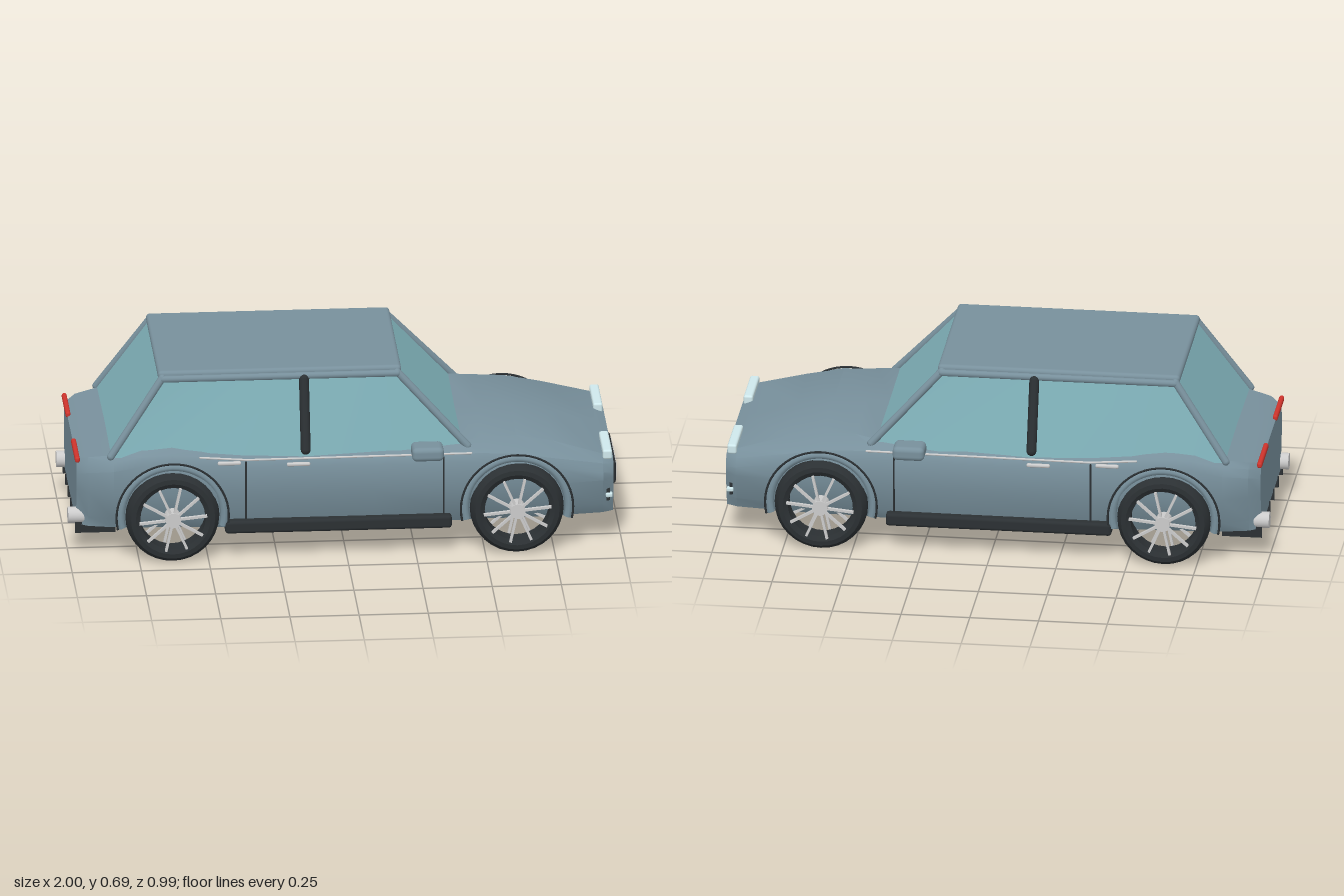
import * as THREE from 'three';
import { toCreasedNormals } from 'three/addons/utils/BufferGeometryUtils.js';
import { RoundedBoxGeometry } from 'three/addons/geometries/RoundedBoxGeometry.js';

const mat = (color, side = THREE.FrontSide) => new THREE.MeshStandardMaterial({ color, side });
const paint = mat(0x78909c), glass = mat(0x7fb0b8), dark = mat(0x2b3033);
const chrome = mat(0xcccccc), lamp = mat(0xcfe8ec), red = mat(0xd0342c);
const V = (x, y, z) => new THREE.Vector3(x, y, z);

function add(parent, name, geometry, material, x = 0, y = 0, z = 0) {
  const mesh = new THREE.Mesh(geometry, material);
  mesh.name = name;
  mesh.position.set(x, y, z);
  parent.add(mesh);
  return mesh;
}

// Closed loft through rings of equal length, with fan caps at both ends
function loft(rings, crease) {
  const n = rings[0].length, pos = [], idx = [];
  rings.forEach(r => r.forEach(p => pos.push(p.x, p.y, p.z)));
  for (let i = 0; i < rings.length - 1; i++) {
    for (let j = 0; j < n; j++) {
      const a = i * n + j, b = i * n + (j + 1) % n;
      idx.push(a, a + n, b, a + n, b + n, b);
    }
  }
  const last = (rings.length - 1) * n;
  [0, last].forEach(base => {
    const c = V(0, 0, 0);
    rings[base / n].forEach(p => c.addScaledVector(p, 1 / n));
    const k = pos.length / 3;
    pos.push(c.x, c.y, c.z);
    for (let j = 0; j < n; j++) {
      const a = base + j, b = base + (j + 1) % n;
      if (base) idx.push(k, b, a); else idx.push(k, a, b);
    }
  });
  const g = new THREE.BufferGeometry();
  g.setAttribute('position', new THREE.Float32BufferAttribute(pos, 3));
  g.setIndex(idx);
  return toCreasedNormals(g, crease);
}

// Round bar between two points
function bar(parent, name, a, b, r, material) {
  const d = b.clone().sub(a);
  const m = add(parent, name, new THREE.CapsuleGeometry(r, d.length(), 4, 10), material);
  m.position.copy(a).add(b).multiplyScalar(0.5);
  m.quaternion.setFromUnitVectors(V(0, 1, 0), d.normalize());
  return m;
}

// Lower body: each station is [x, half width, top y, shoulder drop, crown inset, bottom half width]
function makeBody() {
  const stations = [
    [-0.97, 0.31, 0.36, 0.02, 0.03, 0.29], [-0.93, 0.35, 0.375, 0.02, 0.03, 0.32],
    [-0.84, 0.385, 0.39, 0.02, 0.04, 0.34], [-0.74, 0.4, 0.418, 0.025, 0.05, 0.35],
    [-0.63, 0.405, 0.43, 0.03, 0.05, 0.35], [-0.52, 0.408, 0.418, 0.025, 0.04, 0.36],
    [-0.38, 0.41, 0.4, 0.015, 0.03, 0.37], [0.1, 0.41, 0.395, 0.015, 0.03, 0.37],
    [0.4, 0.408, 0.405, 0.025, 0.06, 0.36], [0.5, 0.405, 0.412, 0.035, 0.09, 0.35],
    [0.62, 0.402, 0.41, 0.04, 0.1, 0.35], [0.75, 0.39, 0.385, 0.04, 0.09, 0.34],
    [0.93, 0.365, 0.335, 0.025, 0.05, 0.32], [0.97, 0.335, 0.318, 0.02, 0.035, 0.3],
  ];
  return loft(stations.map(([x, w, top, drop, inset, bottom]) => {
    const half = [[bottom, 0.11], [w - 0.025, 0.15], [w, 0.25], [w, top - drop - 0.03],
      [w - 0.015, top - drop], [w - inset, top]];
    return [V(x, 0.11, 0), ...half.map(([z, y]) => V(x, y, z)), V(x, top + 0.002, 0),
      ...half.reverse().map(([z, y]) => V(x, y, -z))];
  }), 0.5);
}

// Glasshouse: base and top outlines of one side, front to back
const baseLine = [[0.44, 0.355], [0.2, 0.382], [-0.15, 0.393], [-0.5, 0.388], [-0.85, 0.36]];
const topLine = [[0.19, 0.295], [0.08, 0.3], [-0.15, 0.302], [-0.4, 0.3], [-0.66, 0.297]];
function makeCabin() {
  const ring = (line, y) => [...line.map(([x, z]) => V(x, y, z)),
    ...line.slice().reverse().map(([x, z]) => V(x, y, -z))];
  return loft([ring(baseLine, 0.385), ring(topLine, 0.67)], 0.3);
}

function makeWheel() {
  const wheel = new THREE.Group();
  const profile = [[0.118, -0.03], [0.135, -0.04], [0.152, -0.038], [0.166, -0.022], [0.17, 0],
    [0.166, 0.022], [0.152, 0.038], [0.135, 0.04], [0.118, 0.03], [0.118, -0.03]];
  const tyre = add(wheel, 'tyre', toCreasedNormals(new THREE.LatheGeometry(
    profile.map(([r, y]) => new THREE.Vector2(r, y)), 32), 0.6), dark);
  tyre.rotation.x = Math.PI / 2;
  add(wheel, 'hub', new THREE.CylinderGeometry(0.028, 0.028, 0.11, 20), chrome).rotation.x = Math.PI / 2;
  for (const z of [-0.044, 0.044]) {
    for (let i = 0; i < 10; i++) {
      const a = i / 10 * Math.PI * 2 + 0.1;
      const spoke = add(wheel, 'spoke', new THREE.BoxGeometry(0.11, 0.009, 0.012), chrome,
        Math.cos(a) * 0.068, Math.sin(a) * 0.068, z);
      spoke.rotation.z = a;
    }
  }
  return wheel;
}

export function createModel() {
  const car = new THREE.Group();
  car.name = 'car';
  add(car, 'body', makeBody(), paint);
  add(car, 'cabinGlass', makeCabin(), glass);
  add(car, 'roof', new RoundedBoxGeometry(0.88, 0.032, 0.6, 3, 0.014), paint, -0.235, 0.673, 0);

  // Frame rails across the front and rear screens
  bar(car, 'frontHeader', V(0.19, 0.668, -0.29), V(0.19, 0.668, 0.29), 0.014, paint);
  bar(car, 'rearHeader', V(-0.66, 0.668, -0.29), V(-0.66, 0.668, 0.29), 0.014, paint);

  for (const s of [1, -1]) {
    // Pillars and roof rails
    bar(car, 'frontPillar', V(0.44, 0.395, 0.355 * s), V(0.19, 0.665, 0.297 * s), 0.014, paint);
    bar(car, 'rearPillar', V(-0.85, 0.39, 0.358 * s), V(-0.66, 0.665, 0.299 * s), 0.014, paint);
    bar(car, 'roofRail', V(0.19, 0.662, 0.302 * s), V(-0.66, 0.662, 0.302 * s), 0.013, paint);
    bar(car, 'centrePillar', V(-0.148, 0.41, 0.393 * s), V(-0.148, 0.652, 0.31 * s), 0.018, dark);

    // Wheels and arches
    for (const x of [-0.63, 0.615]) {
      const wheel = makeWheel();
      wheel.name = x > 0 ? 'frontWheel' : 'rearWheel';
      wheel.position.set(x, 0.17, 0.395 * s);
      car.add(wheel);
      const arc = Math.PI * 1.14, start = -Math.PI * 0.07;
      add(car, 'wheelArch', new THREE.TorusGeometry(0.188, 0.015, 8, 32, arc), paint,
        x, 0.17, 0.397 * s).rotation.z = start;
      add(car, 'archTrim', new THREE.TorusGeometry(0.203, 0.004, 6, 32, arc), dark,
        x, 0.17, 0.409 * s).rotation.z = start;
    }

    // Side trim
    add(car, 'sill', new RoundedBoxGeometry(0.82, 0.048, 0.05, 2, 0.012), dark, -0.03, 0.123, 0.39 * s);
    bar(car, 'beltTrim', V(-0.53, 0.395, 0.408 * s), V(-0.36, 0.383, 0.411 * s), 0.004, chrome);
    bar(car, 'beltTrim', V(-0.36, 0.383, 0.411 * s), V(0.45, 0.383, 0.402 * s), 0.004, chrome);
    for (const x of [-0.365, 0.35]) {
      add(car, 'doorGap', new THREE.BoxGeometry(0.006, 0.22, 0.006), dark, x, 0.265, 0.409 * s);
    }
    for (const [x, y] of [[-0.425, 0.372], [-0.175, 0.362]]) {
      add(car, 'doorHandle', new RoundedBoxGeometry(0.085, 0.014, 0.014, 2, 0.006), chrome, x, y, 0.411 * s);
    }
    add(car, 'mirror', new RoundedBoxGeometry(0.115, 0.052, 0.092, 3, 0.018), paint, 0.288, 0.413, 0.45 * s);
    bar(car, 'mirrorArm', V(0.288, 0.4, 0.375 * s), V(0.288, 0.41, 0.42 * s), 0.01, paint);

    // Lamps and exhausts
    add(car, 'headlamp', new RoundedBoxGeometry(0.034, 0.036, 0.2, 3, 0.008), lamp, 0.948, 0.336, 0.235 * s);
    add(car, 'tailLamp', new RoundedBoxGeometry(0.018, 0.022, 0.2, 3, 0.008), red, -0.968, 0.367, 0.228 * s);
    add(car, 'markerBracket', new THREE.BoxGeometry(0.012, 0.045, 0.012), dark, 0.95, 0.187, 0.338 * s);
    add(car, 'markerLamp', new RoundedBoxGeometry(0.025, 0.016, 0.024, 2, 0.005), lamp, 0.953, 0.186, 0.341 * s);
    add(car, 'exhaust', new THREE.CylinderGeometry(0.03, 0.03, 0.1, 20), chrome,
      -0.95, 0.14, 0.282 * s).rotation.z = Math.PI / 2;
  }

  // Grille with upright slats
  add(car, 'grille', new RoundedBoxGeometry(0.03, 0.087, 0.305, 3, 0.01), dark, 0.977, 0.197, 0);
  for (let i = -3; i <= 3; i++) {
    add(car, 'grilleSlat', new THREE.BoxGeometry(0.008, 0.058, 0.006), chrome, 0.992, 0.198, i * 0.039);
  }

  // Underbody fins at the rear
  for (let i = 0; i < 6; i++) {
    add(car, 'diffuserFin', new THREE.BoxGeometry(0.145, 0.042, 0.008), dark, -0.902, 0.099, -0.3 + i * 0.12);
  }
  return car;
}
